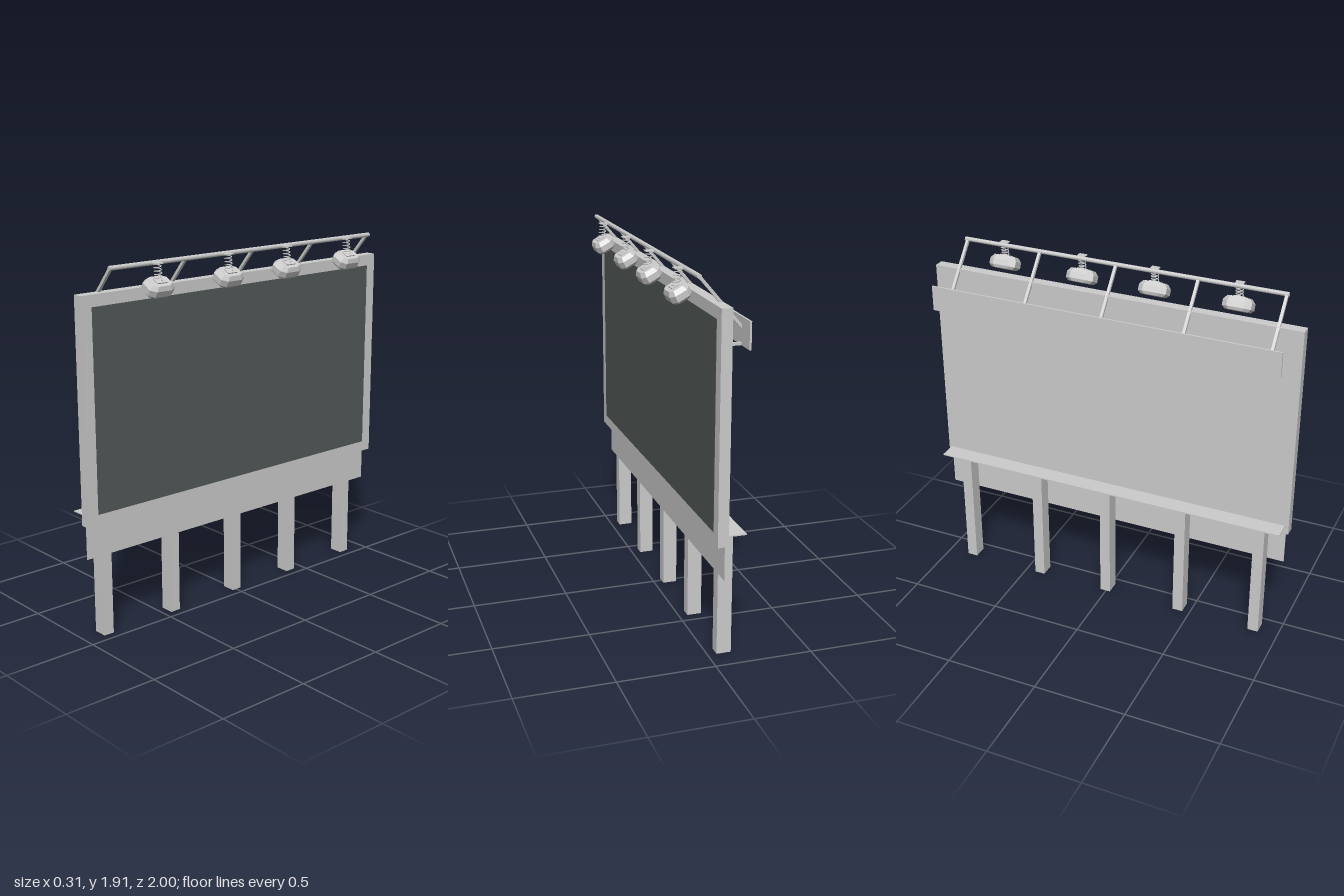
import * as THREE from 'three';

const grey = new THREE.MeshStandardMaterial({ color: 0xcccccc, flatShading: true });
const smooth = new THREE.MeshStandardMaterial({ color: 0xcccccc });
const dark = new THREE.MeshStandardMaterial({ color: 0x525a58 });

// Box given by its min and max on each axis
function box(name, [x0, x1], [y0, y1], [z0, z1], material = grey) {
  const mesh = new THREE.Mesh(new THREE.BoxGeometry(x1 - x0, y1 - y0, z1 - z0), material);
  mesh.position.set((x0 + x1) / 2, (y0 + y1) / 2, (z0 + z1) / 2);
  mesh.name = name;
  return mesh;
}

// Square bar between two points
function bar(name, a, b, thickness) {
  const from = new THREE.Vector3(...a), to = new THREE.Vector3(...b);
  const mesh = new THREE.Mesh(new THREE.BoxGeometry(thickness, thickness, from.distanceTo(to)), grey);
  mesh.position.copy(from).lerp(to, 0.5);
  mesh.lookAt(to);
  mesh.name = name;
  return mesh;
}

// Lamp housing: stacked chamfered rectangles, closed at both ends
function housingGeometry() {
  const levels = [[-0.034, 0.043, 0.06], [-0.02, 0.053, 0.075], [0.012, 0.053, 0.075], [0.034, 0.041, 0.058]];
  const positions = [], index = [];
  for (const [y, hx, hz] of levels) {
    const cx = hx * 0.6, cz = hz * 0.6;
    for (const [x, z] of [[hx, cz], [cx, hz], [-cx, hz], [-hx, cz], [-hx, -cz], [-cx, -hz], [cx, -hz], [hx, -cz]])
      positions.push(x, y, z);
  }
  const top = (levels.length - 1) * 8;
  for (let l = 0; l < levels.length - 1; l++)
    for (let i = 0; i < 8; i++) {
      const a = l * 8 + i, b = l * 8 + (i + 1) % 8;
      index.push(a, a + 8, b, b, a + 8, b + 8);
    }
  for (let i = 1; i < 7; i++) index.push(0, i, i + 1, top, top + i + 1, top + i);
  const geometry = new THREE.BufferGeometry();
  geometry.setAttribute('position', new THREE.Float32BufferAttribute(positions, 3));
  geometry.setIndex(index);
  geometry.computeVertexNormals();
  return geometry;
}

// Coil spring running down from the rail plate to the lamp
function springGeometry() {
  const turns = 5, points = [];
  for (let i = 0; i <= turns * 10; i++) {
    const t = i / (turns * 10), a = t * turns * Math.PI * 2;
    points.push(new THREE.Vector3(0.092 + 0.012 * t + 0.018 * Math.cos(a), 1.895 - 0.08 * t, 0.018 * Math.sin(a)));
  }
  return new THREE.TubeGeometry(new THREE.CatmullRomCurve3(points), 120, 0.003, 5);
}

export function createModel() {
  const model = new THREE.Group();
  model.name = 'billboard';

  // Display panel and its dark face
  model.add(box('panel', [-0.055, 0], [0.62, 1.77], [-1, 1]));
  model.add(box('displayFace', [-0.002, 0.0015], [0.678, 1.71], [-0.94, 0.94], dark));

  // Skirt below the panel, rear walkway and posts
  model.add(box('skirt', [-0.046, -0.041], [0.44, 0.665], [-0.985, 0.985]));
  model.add(box('walkway', [-0.151, -0.05], [0.663, 0.669], [-0.985, 0.98]));
  for (const z of [-0.855, -0.415, -0.005, 0.43, 0.865])
    model.add(box('post', [-0.121, -0.046], [0, 0.664], [z - 0.029, z + 0.029]));

  // Rear board, with stubs to the panel and arms up to the lamp rail
  model.add(box('rearBoard', [-0.158, -0.148], [1.56, 1.695], [-0.97, 0.93]));
  for (const z of [-0.865, -0.445, -0.02, 0.42, 0.87]) {
    model.add(bar('stub', [-0.15, 1.567, z], [-0.05, 1.567, z], 0.014));
    model.add(bar('arm', [-0.15, 1.645, z], [0.062, 1.895, z], 0.015));
  }

  // Lamp rail
  const rail = new THREE.Mesh(new THREE.CylinderGeometry(0.012, 0.012, 1.76, 8), smooth);
  rail.rotation.x = Math.PI / 2;
  rail.position.set(0.062, 1.894, 0);
  rail.name = 'lampRail';
  model.add(rail);

  // Lamps hung from the rail on springs
  const housing = housingGeometry(), spring = springGeometry();
  for (const z of [-0.67, -0.225, 0.175, 0.62]) {
    const lamp = new THREE.Group();
    lamp.name = 'lamp';
    lamp.position.z = z;
    lamp.add(box('mountPlate', [0.05, 0.115], [1.893, 1.898], [-0.022, 0.022]));
    const coil = new THREE.Mesh(spring, smooth);
    coil.name = 'spring';
    const head = new THREE.Group();
    head.name = 'lampHead';
    head.position.set(0.097, 1.782, 0);
    head.rotation.z = -0.49;
    const shell = new THREE.Mesh(housing, grey);
    shell.name = 'lampHousing';
    head.add(shell, box('lampCap', [-0.02, 0.02], [0.03, 0.039], [-0.03, 0.03]));
    lamp.add(coil, head);
    model.add(lamp);
  }
  return model;
}
